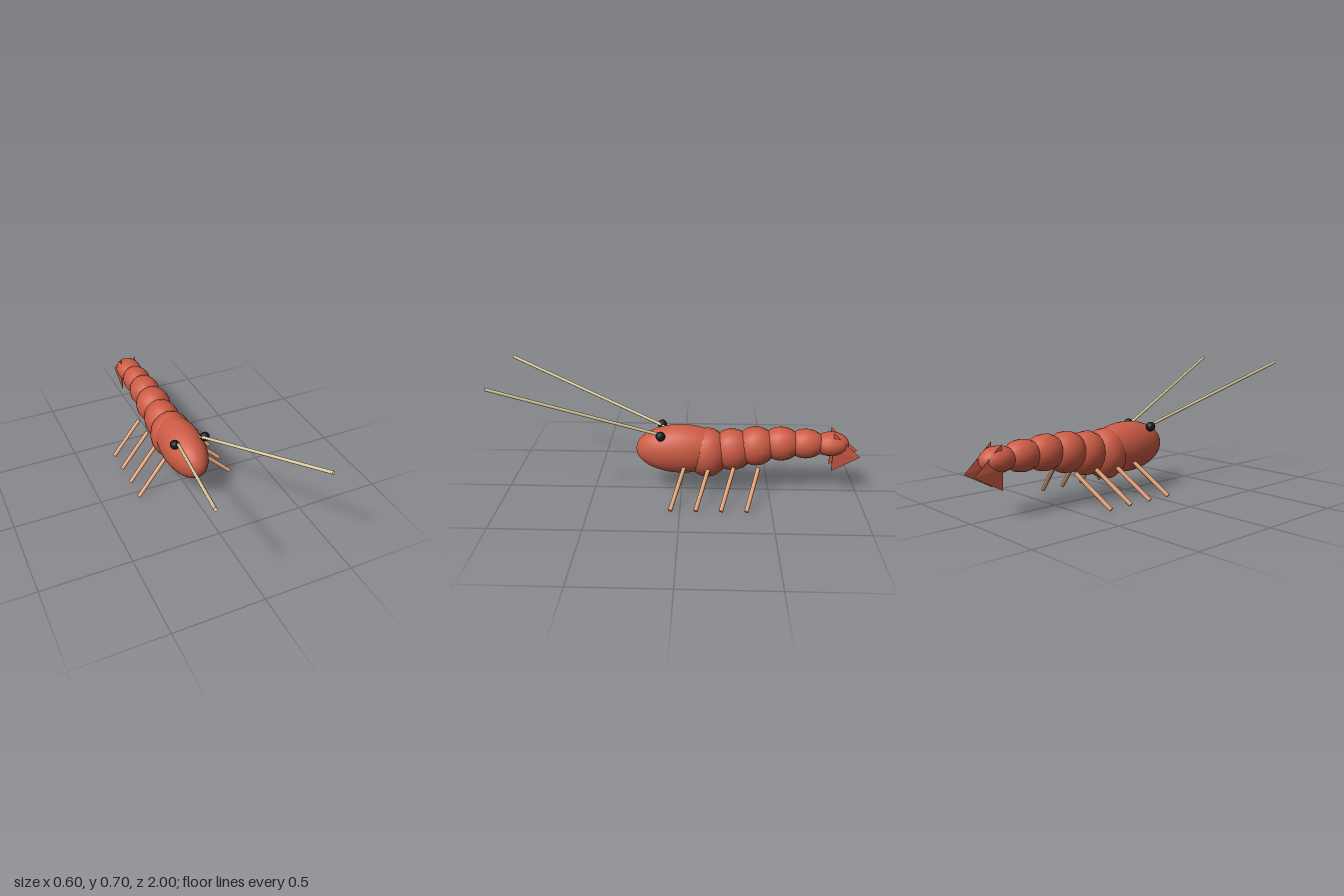
import * as THREE from 'three';

const shell = new THREE.MeshStandardMaterial({ color: 0xcd5c45 });
const shellFlat = new THREE.MeshStandardMaterial({ color: 0xcd5c45, flatShading: true });
const legMat = new THREE.MeshStandardMaterial({ color: 0xe5a274 });
const antennaMat = new THREE.MeshStandardMaterial({ color: 0xe3d3a2 });
const eyeMat = new THREE.MeshStandardMaterial({ color: 0x12191e });

// Ellipsoid whose poles lie along z
function ellipsoid(name, [x, y, z], [rx, ry, rz], material, sides = 16, rings = 12) {
  const geo = new THREE.SphereGeometry(1, sides, rings).rotateX(Math.PI / 2);
  geo.scale(rx, ry, rz);
  const mesh = new THREE.Mesh(geo, material);
  mesh.name = name;
  mesh.position.set(x, y, z);
  return mesh;
}

// Round rod between two points
function rod(name, from, to, radius, material) {
  const a = new THREE.Vector3(...from);
  const b = new THREE.Vector3(...to);
  const dir = b.clone().sub(a);
  const mesh = new THREE.Mesh(new THREE.CylinderGeometry(radius, radius, dir.length(), 8), material);
  mesh.name = name;
  mesh.position.copy(a).add(b).multiplyScalar(0.5);
  mesh.quaternion.setFromUnitVectors(new THREE.Vector3(0, 1, 0), dir.normalize());
  return mesh;
}

// Thin pointed plate: a four-sided cone flattened in x, its tip lowered
function tailPlate(name, x) {
  const geo = new THREE.ConeGeometry(0.115, 0.155, 4).rotateX(-Math.PI / 2);
  geo.scale(0.07, 1, 1);
  const p = geo.attributes.position;
  for (let i = 0; i < p.count; i++) {
    if (p.getZ(i) < -0.05) p.setY(i, p.getY(i) - 0.029);
  }
  geo.computeVertexNormals();
  const mesh = new THREE.Mesh(geo, shellFlat);
  mesh.name = name;
  mesh.position.set(x, 0.265, -0.922);
  return mesh;
}

export function createModel() {
  const model = new THREE.Group();
  model.name = 'crustacean';

  model.add(ellipsoid('carapace', [0, 0.255, 0], [0.12, 0.142, 0.257], shell, 24, 16));

  // Abdomen: y, z, half width, half height, half length
  const segments = [
    [0.235, -0.148, 0.124, 0.143, 0.12],
    [0.255, -0.285, 0.106, 0.121, 0.12],
    [0.278, -0.42, 0.105, 0.112, 0.115],
    [0.294, -0.56, 0.092, 0.097, 0.112],
    [0.297, -0.698, 0.084, 0.084, 0.108],
    [0.297, -0.84, 0.078, 0.068, 0.1],
  ];
  segments.forEach(([y, z, rx, ry, rz], i) => {
    model.add(ellipsoid('abdomenSegment' + (i + 1), [0, y, z], [rx, ry, rz], shell));
  });

  for (const [side, s] of [['left', 1], ['right', -1]]) {
    // Head
    model.add(ellipsoid(side + 'Eye', [s * 0.091, 0.365, 0.113], [0.027, 0.027, 0.027], eyeMat));
    model.add(rod(side + 'Antenna', [s * 0.07, 0.362, 0.1], [s * 0.293, 0.699, 0.997], 0.009, antennaMat));

    // Walking legs
    for (let i = 0; i < 4; i++) {
      const z = -0.138 * i;
      model.add(rod(side + 'Leg' + (i + 1), [s * 0.093, 0.181, z - 0.018], [s * 0.29, 0.013, z + 0.052], 0.012, legMat));
    }

    // Tail
    model.add(tailPlate(side + 'TailPlate', s * 0.047));
  }
  return model;
}
